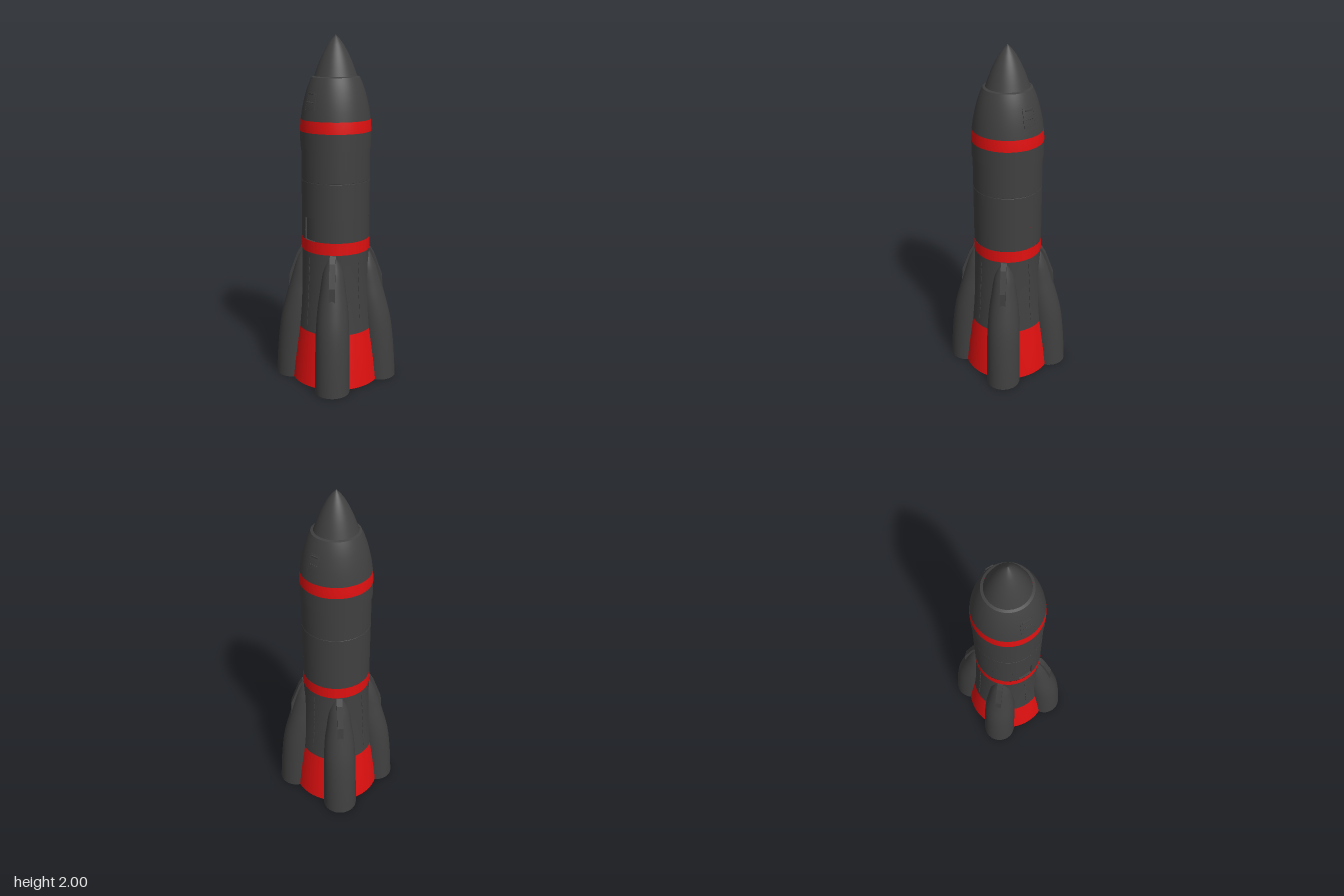
import * as THREE from 'three';

const SEG = 64;

export function createModel() {
  const rocket = new THREE.Group();
  const make = (name, color) => {
    const m = new THREE.MeshStandardMaterial({ color, side: THREE.DoubleSide });
    m.name = name;
    return m;
  };
  const grey = make('charcoal', 0x404040);
  const red = make('red', 0xe01010);

  const add = (name, geometry, material, parent = rocket) => {
    const mesh = new THREE.Mesh(geometry, material);
    mesh.name = name;
    parent.add(mesh);
    return mesh;
  };
  // Profiles are [radius, height] pairs, listed upwards
  const lathe = (pts, start = 0, length = Math.PI * 2, seg = SEG) =>
    new THREE.LatheGeometry(pts.map(([r, y]) => new THREE.Vector2(r, y)), seg, start, length);

  // Tail: open flared skirt, red below and grey above
  add('redSkirt', lathe([[0.262, 0.01], [0.25, 0.12], [0.237, 0.22], [0.222, 0.33]]), red);
  add('upperSkirt', lathe([[0.222, 0.33], [0.211, 0.46], [0.202, 0.6], [0.196, 0.72], [0.195, 0.8]]), grey);
  add('lowerBand', lathe([[0.196, 0.8], [0.196, 0.87]]), red);

  // Fuselage, with a gap on the right side for the recessed hatch
  const hatchAngle = Math.PI * 1.5, hatchHalf = 0.23;
  add('lowerFuselage', lathe([[0.195, 0.87], [0.195, 1.0]],
    hatchAngle + hatchHalf, Math.PI * 2 - hatchHalf * 2), grey);
  add('hatchPanel', lathe([[0.184, 0.87], [0.184, 1.0]], hatchAngle - hatchHalf, hatchHalf * 2, 10), grey);
  for (const y of [0.87, 1.0]) {
    add('hatchLedge', lathe([[0.184, y], [0.195, y]], hatchAngle - hatchHalf, hatchHalf * 2, 10), grey);
  }
  for (const side of [-1, 1]) {
    const jamb = add('hatchJamb', new THREE.BoxGeometry(0.002, 0.13, 0.011), grey);
    const a = hatchAngle + side * hatchHalf;
    jamb.position.set(Math.sin(a) * 0.189, 0.935, Math.cos(a) * 0.189);
    jamb.rotation.y = a;
  }
  add('middleFuselage', lathe([[0.195, 1.0], [0.195, 1.203]]), grey);
  add('seam', lathe([[0.195, 1.203], [0.193, 1.205], [0.195, 1.207]]), grey);
  add('upperFuselage', lathe([[0.195, 1.207], [0.195, 1.39]]), grey);
  add('collarLip', lathe([[0.195, 1.39], [0.2, 1.39]]), grey);
  add('collar', lathe([[0.2, 1.39], [0.2, 1.48]]), grey);

  // Nose section
  add('upperBand', lathe([[0.2, 1.48], [0.199, 1.51], [0.196, 1.545]]), red);
  add('cabin', lathe([[0.196, 1.545], [0.188, 1.6], [0.177, 1.65], [0.164, 1.7], [0.148, 1.745], [0.134, 1.775]]), grey);
  add('noseLedge', lathe([[0.134, 1.775], [0.12, 1.78]]), grey);
  add('noseCone', lathe([[0.12, 1.778], [0.107, 1.815], [0.09, 1.86], [0.069, 1.905],
    [0.045, 1.948], [0.021, 1.98], [0, 2]]), grey);

  // Cabin doors on both sides, each with a handle and a raised sill
  for (const side of [-1, 1]) {
    const a = side * Math.PI / 2, w = 0.2;
    const door = new THREE.Group();
    door.name = 'cabinDoor';
    rocket.add(door);
    add('doorPanel', lathe([[0.187, 1.6], [0.191, 1.6], [0.18, 1.65], [0.167, 1.7], [0.162, 1.7]],
      a - w, w * 2, 10), grey, door);
    for (const e of [-1, 1]) {
      const edge = add('doorEdge', new THREE.BoxGeometry(0.002, 0.1, 0.006), grey, door);
      const b = a + e * w;
      edge.position.set(Math.sin(b) * 0.177, 1.65, Math.cos(b) * 0.177);
      edge.rotation.set(-0.235, b, 0, 'YXZ');
    }
    const handle = add('doorHandle', new THREE.BoxGeometry(0.006, 0.008, 0.045), grey, door);
    handle.position.set(side * 0.172, 1.69, 0);
    for (let i = 0; i < 4; i++) {
      const rivet = add('rivet', new THREE.SphereGeometry(0.004, 8, 6), grey, door);
      rivet.position.set(side * 0.181, 1.645, (i - 1.5) * 0.014);
    }
  }

  // Dashed rails running down the skirt between the boosters
  for (let k = 0; k < 4; k++) {
    const rail = new THREE.Group();
    rail.name = 'dashedRail';
    rail.rotation.y = k * Math.PI / 2;
    rocket.add(rail);
    for (let i = 0; i < 8; i++) {
      const y = 0.38 + i * 0.053;
      const r = 0.195 + 0.025 * Math.pow((0.8 - y) / 0.47, 1.3);
      const dash = add('dash', new THREE.BoxGeometry(0.006, 0.032, 0.005), grey, rail);
      dash.position.set(r, y, 0);
      dash.rotation.z = 0.06;
    }
  }

  // Booster rings: height, distance from the axis, radius
  const rings = [[0.005, 0.259, 0.1], [0.2, 0.248, 0.098], [0.37, 0.23, 0.095], [0.5, 0.207, 0.086],
    [0.586, 0.195, 0.074], [0.65, 0.185, 0.066], [0.7, 0.179, 0.057], [0.76, 0.177, 0.036], [0.805, 0.188, 0.006]];
  const path = new THREE.CatmullRomCurve3(rings.map(r => new THREE.Vector3(...r))).getPoints(28);
  const boosterShape = lathe(path.map(p => [p.z, p.x]), -Math.PI / 2, Math.PI * 2, 40);
  const pos = boosterShape.attributes.position;
  for (let i = 0; i < pos.count; i++) pos.setX(i, pos.getX(i) + path[i % path.length].y);
  boosterShape.computeVertexNormals();

  // Thin fin that blends each booster into the fuselage
  const finOutline = new THREE.Shape([[0.17, 0.8], [0.202, 0.8], [0.225, 0.76], [0.272, 0.63], [0.279, 0.525], [0.2, 0.525]]
    .map(p => new THREE.Vector2(...p)));
  const finShape = new THREE.ExtrudeGeometry(finOutline, { depth: 0.034, bevelEnabled: false });
  finShape.translate(0, 0, -0.017);

  for (let k = 0; k < 4; k++) {
    const unit = new THREE.Group();
    unit.name = 'boosterUnit';
    unit.rotation.y = Math.PI / 4 + k * Math.PI / 2;
    rocket.add(unit);
    add('booster', boosterShape, grey, unit);
    add('fin', finShape, grey, unit);
  }
  return rocket;
}
